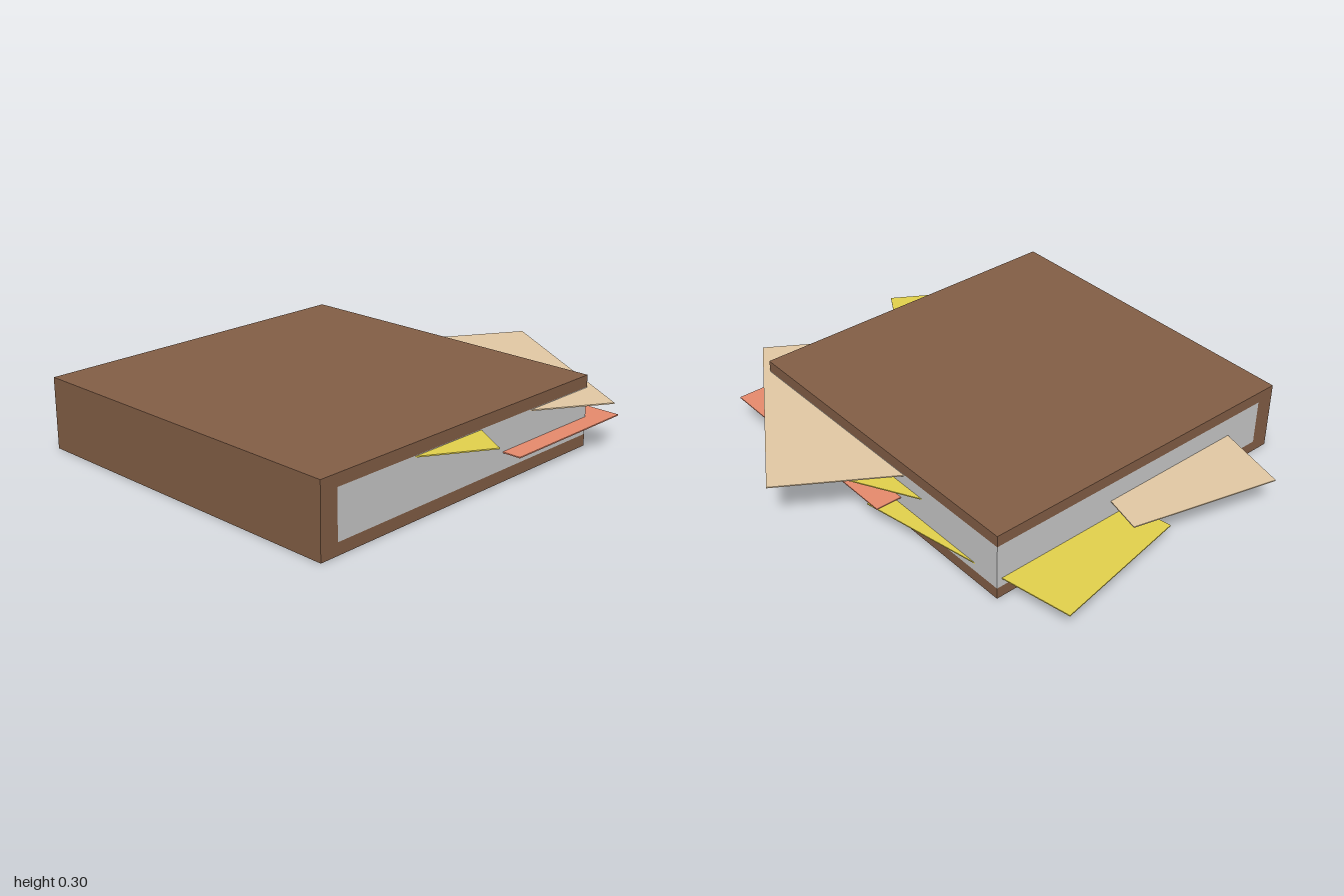
import * as THREE from 'three';

const BACK = -0.68, FRONT = 0.81, LEFT = -0.97, RIGHT = 0.52;
const HEIGHT = 0.3, BOARD = 0.05, SPINE = 0.08;

const material = (color) => new THREE.MeshStandardMaterial({ color });

export function createModel() {
  const model = new THREE.Group();
  model.name = 'bookWithLooseSheets';

  const add = (name, geometry, mat) => {
    const mesh = new THREE.Mesh(geometry, mat);
    mesh.name = name;
    model.add(mesh);
    return mesh;
  };

  // Cover: two boards joined by the spine, one C-shaped section
  const inner = LEFT + SPINE;
  const section = new THREE.Shape([
    [LEFT, 0], [RIGHT, 0], [RIGHT, BOARD], [inner, BOARD],
    [inner, HEIGHT - BOARD], [RIGHT, HEIGHT - BOARD], [RIGHT, HEIGHT], [LEFT, HEIGHT],
  ].map(([x, y]) => new THREE.Vector2(x, y)));
  const cover = new THREE.ExtrudeGeometry(section, { depth: FRONT - BACK, bevelEnabled: false });
  add('cover', cover, material(0x845f46)).position.z = BACK;

  // Page block, flush with the boards
  const pages = new THREE.BoxGeometry(RIGHT - inner, HEIGHT - 2 * BOARD, FRONT - BACK);
  add('pages', pages, material(0xcccccc))
    .position.set((RIGHT + inner) / 2, HEIGHT / 2, (FRONT + BACK) / 2);

  // Loose sheets sticking out between the pages
  const sheet = new THREE.BoxGeometry(0.645, 0.005, 0.99);
  const tan = material(0xe5cba6), yellow = material(0xe5d34d), coral = material(0xe98c6e);
  // name, material, centre x, y, z, turn in degrees
  const sheets = [
    ['rightTanSheet', tan, 0.43, 0.245, 0.4, -31.8],
    ['frontYellowSheet', yellow, -0.26, 0.245, 0.38, -31],
    ['rightYellowSheet', yellow, 0.253, 0.195, -0.05, 28],
    ['backTanSheet', tan, -0.443, 0.162, -0.442, -13.8],
    ['coralSheet', coral, 0.3125, 0.121, 0.395, 0],
    ['backYellowSheet', yellow, 0.213, 0.087, -0.44, 10.5],
  ];
  for (const [name, mat, x, y, z, turn] of sheets) {
    const mesh = add(name, sheet, mat);
    mesh.position.set(x, y, z);
    mesh.rotation.y = THREE.MathUtils.degToRad(turn);
  }

  return model;
}
